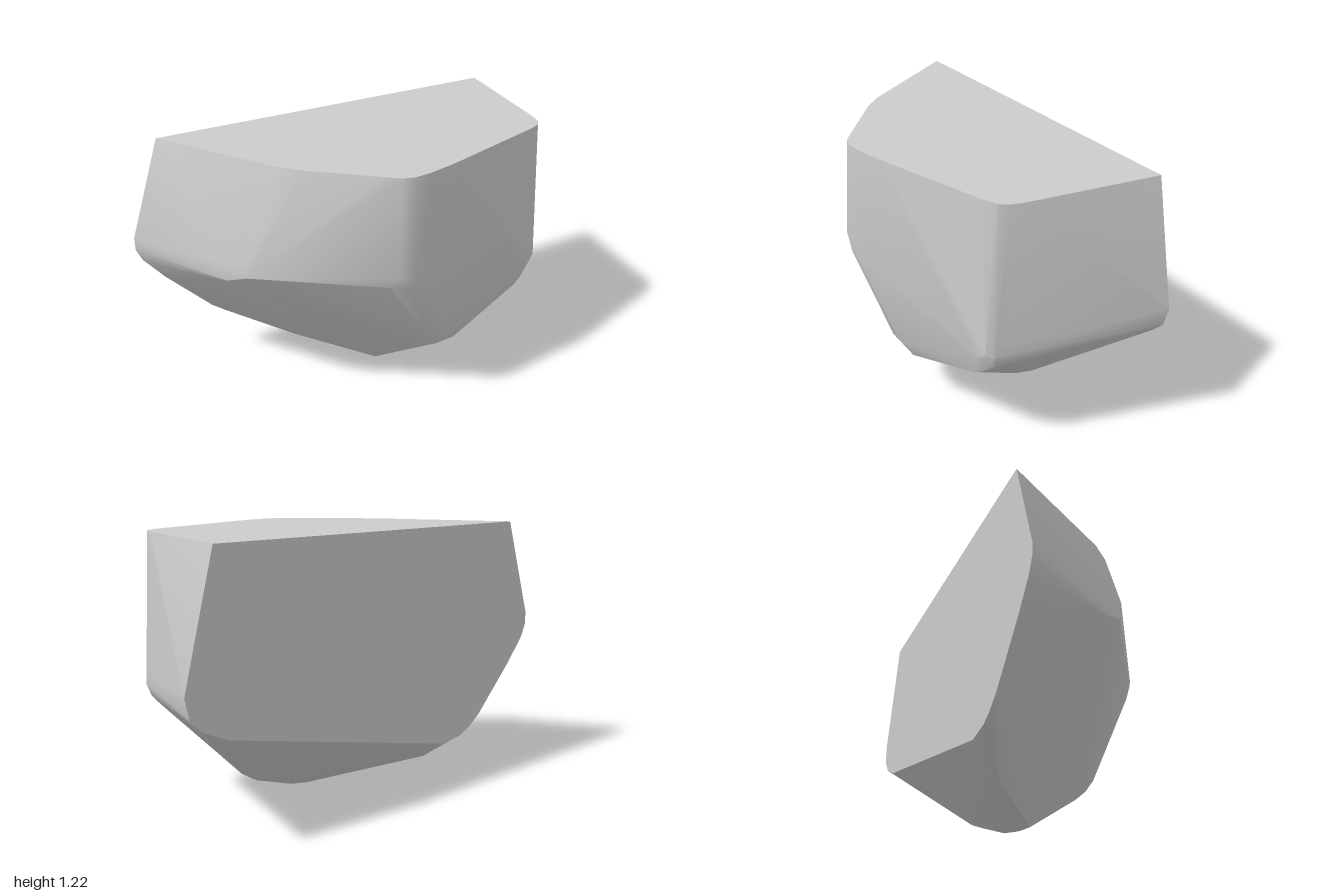
import * as THREE from 'three';
import { ConvexGeometry } from 'three/addons/geometries/ConvexGeometry.js';
import { toCreasedNormals } from 'three/addons/utils/BufferGeometryUtils.js';

const TOP = 1.22, BACK = -0.46;

// Flat top outline, as x, z
const topOutline = [
  [-0.84, BACK], [-0.5, 0.08], [-0.42, 0.17], [-0.17, 0.38], [-0.11, 0.43], [-0.06, 0.447],
  [0.02, 0.44], [0.15, 0.41], [0.67, 0.255], [0.73, 0.23], [0.76, 0.19], [0.775, 0.13], [0.86, BACK],
];

// Flat back outline below the top, as x, y
const backOutline = [
  [-1, 0.76], [-1, 0.7], [-0.975, 0.64], [-0.88, 0.52], [-0.67, 0.295], [-0.6, 0.24], [-0.54, 0.21],
  [-0.42, 0.19], [0.81, 0.47], [0.93, 0.525], [0.98, 0.58], [1, 0.67],
];

// Small clusters of points that blunt each corner of the boulder, as x, y, z
const corners = {
  leftRidge: [
    [0.78, 0.6, 0.21], [0.765, 0.54, 0.245], [0.74, 0.56, 0.27], [0.7, 0.52, 0.283],
    [0.75, 0.49, 0.23], [0.7, 0.44, 0.25], [0.65, 0.41, 0.265],
  ],
  frontRidge: [
    [-0.16, 0.72, 0.425], [-0.12, 0.77, 0.452], [-0.06, 0.75, 0.463], [-0.08, 0.69, 0.45],
    [0.0, 0.7, 0.453],
  ],
  frontFoot: [
    [0.12, 0.32, 0.36], [0.2, 0.33, 0.365], [0.13, 0.26, 0.32], [0.18, 0.23, 0.29],
    [0.25, 0.27, 0.33], [0.17, 0.28, 0.335],
  ],
  rightRidge: [
    [-0.72, 0.78, 0.015], [-0.66, 0.8, 0.08], [-0.67, 0.74, 0.09], [-0.73, 0.7, 0.0],
    [-0.6, 0.73, 0.12], [-0.64, 0.68, 0.07],
  ],
  underside: [
    [0.02, 0.01, -0.02], [0.06, 0, -0.05], [0.1, 0.005, -0.06], [0.2, 0.025, -0.07],
    [0.4, 0.1, -0.1], [0.45, 0.125, -0.14], [0.53, 0.175, -0.14], [0.48, 0.15, -0.08],
    [-0.3, 0.09, -0.3], [-0.36, 0.12, -0.38],
  ],
};

export function createModel() {
  const points = [
    ...topOutline.map(([x, z]) => new THREE.Vector3(x, TOP, z)),
    ...backOutline.map(([x, y]) => new THREE.Vector3(x, y, BACK)),
    ...Object.values(corners).flat().map((p) => new THREE.Vector3(...p)),
  ];

  // One solid stone: blunt corners shade softly, the cut top and back stay sharp
  const geometry = toCreasedNormals(new ConvexGeometry(points), 0.45);
  const boulder = new THREE.Mesh(geometry, new THREE.MeshStandardMaterial({ color: 0xcccccc }));
  boulder.name = 'boulder';

  const group = new THREE.Group();
  group.name = 'rock';
  group.add(boulder);
  return group;
}
